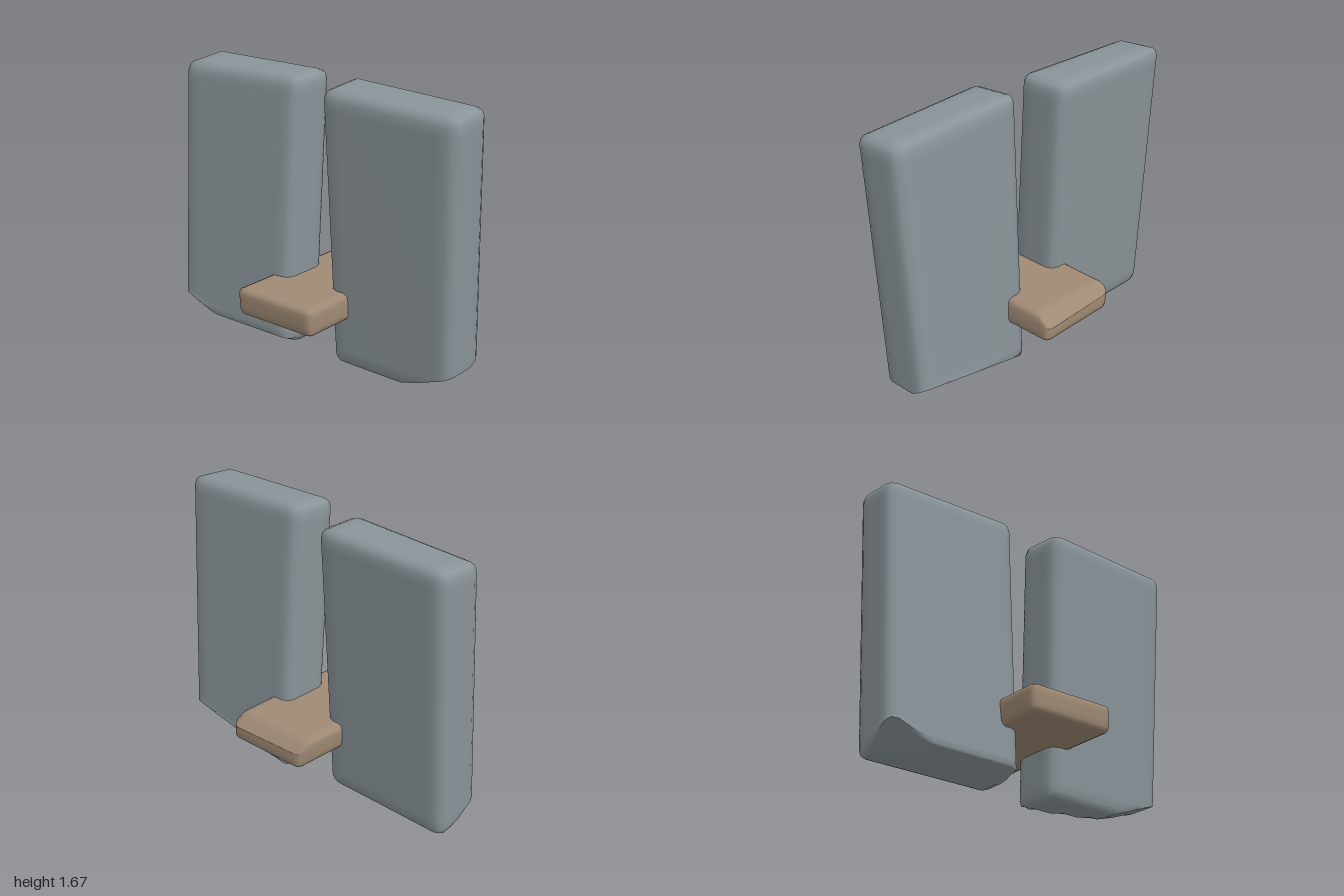
import * as THREE from 'three';
import { mergeVertices } from 'three/addons/utils/BufferGeometryUtils.js';

// Soft-edged stone: a rounded box warped onto eight corners, then trimmed.
// Corners run (-x,-z), (+x,-z), (-x,+z), (+x,+z), first bottom, then top.
function stone(size, r, corners, trim) {
  const segs = size.map(s => Math.round(s / r));
  const geo = new THREE.BoxGeometry(...size, ...segs);
  geo.deleteAttribute('normal');
  geo.deleteAttribute('uv');
  const merged = mergeVertices(geo, 1e-4);
  const pos = merged.attributes.position;
  const half = new THREE.Vector3(...size).multiplyScalar(0.5);
  const inner = half.clone().subScalar(r);
  const p = new THREE.Vector3(), core = new THREE.Vector3(), out = new THREE.Vector3();
  const pts = corners.map(c => new THREE.Vector3(...c));
  for (let i = 0; i < pos.count; i++) {
    p.fromBufferAttribute(pos, i);
    core.copy(p).clamp(inner.clone().negate(), inner);
    p.sub(core).setLength(r).add(core);
    const u = p.x / size[0] + 0.5, v = p.y / size[1] + 0.5, w = p.z / size[2] + 0.5;
    out.set(0, 0, 0);
    pts.forEach((c, k) => out.addScaledVector(c,
      (k & 1 ? u : 1 - u) * (k & 2 ? w : 1 - w) * (k & 4 ? v : 1 - v)));
    trim(out);
    pos.setXYZ(i, out.x, out.y, out.z);
  }
  merged.computeVertexNormals();
  return merged;
}

export function createModel() {
  const group = new THREE.Group();
  const grey = new THREE.MeshStandardMaterial({ color: 0x8a9499 });
  grey.name = 'grey stone';
  const brown = new THREE.MeshStandardMaterial({ color: 0x9f8a74 });
  brown.name = 'brown stone';
  const add = (name, geo, mat) => {
    const mesh = new THREE.Mesh(geo, mat);
    mesh.name = name;
    group.add(mesh);
  };

  // Front upright, leaning to -x at the top, with its lower front corner broken off
  add('frontUpright', stone([0.31, 1.65, 0.85], 0.055, [
    [-0.12, 0.01, 0.145], [0.195, 0.02, 0.145], [-0.115, 0, 0.95], [0.2, 0, 0.95],
    [-0.21, 1.655, 0.12], [0.105, 1.68, 0.12], [-0.21, 1.63, 1.0], [0.1, 1.65, 1.0],
  ], q => {
    q.y = Math.max(q.y, 0.37 * (q.z - 0.57), -0.107 + 0.187 * q.z + 0.68 * q.x);
  }), grey);

  // Back upright, leaning the other way, worn along its lower -x edge
  add('backUpright', stone([0.31, 1.63, 0.85], 0.055, [
    [-0.205, 0.03, -0.99], [0.11, 0.025, -0.99], [-0.205, 0.03, -0.145], [0.11, 0.025, -0.145],
    [-0.11, 1.63, -1.0], [0.2, 1.655, -1.0], [-0.115, 1.66, -0.13], [0.2, 1.66, -0.13],
  ], q => {
    q.y = Math.max(q.y, 0.008 - 0.45 * q.x, -0.311 - 0.68 * q.x - 0.375 * q.z);
  }), grey);

  // Flat stone lying between the uprights, chipped along its upper +x edge
  add('crossSlab', stone([0.94, 0.155, 0.54], 0.03, [
    [-0.465, 0.315, -0.27], [0.47, 0.315, -0.25], [-0.47, 0.315, 0.27], [0.478, 0.315, 0.275],
    [-0.47, 0.478, -0.28], [0.465, 0.47, -0.265], [-0.482, 0.478, 0.27], [0.478, 0.472, 0.27],
  ], q => {
    q.y = Math.min(q.y, 0.47 - (q.x - 0.405));
  }), brown);

  return group;
}
